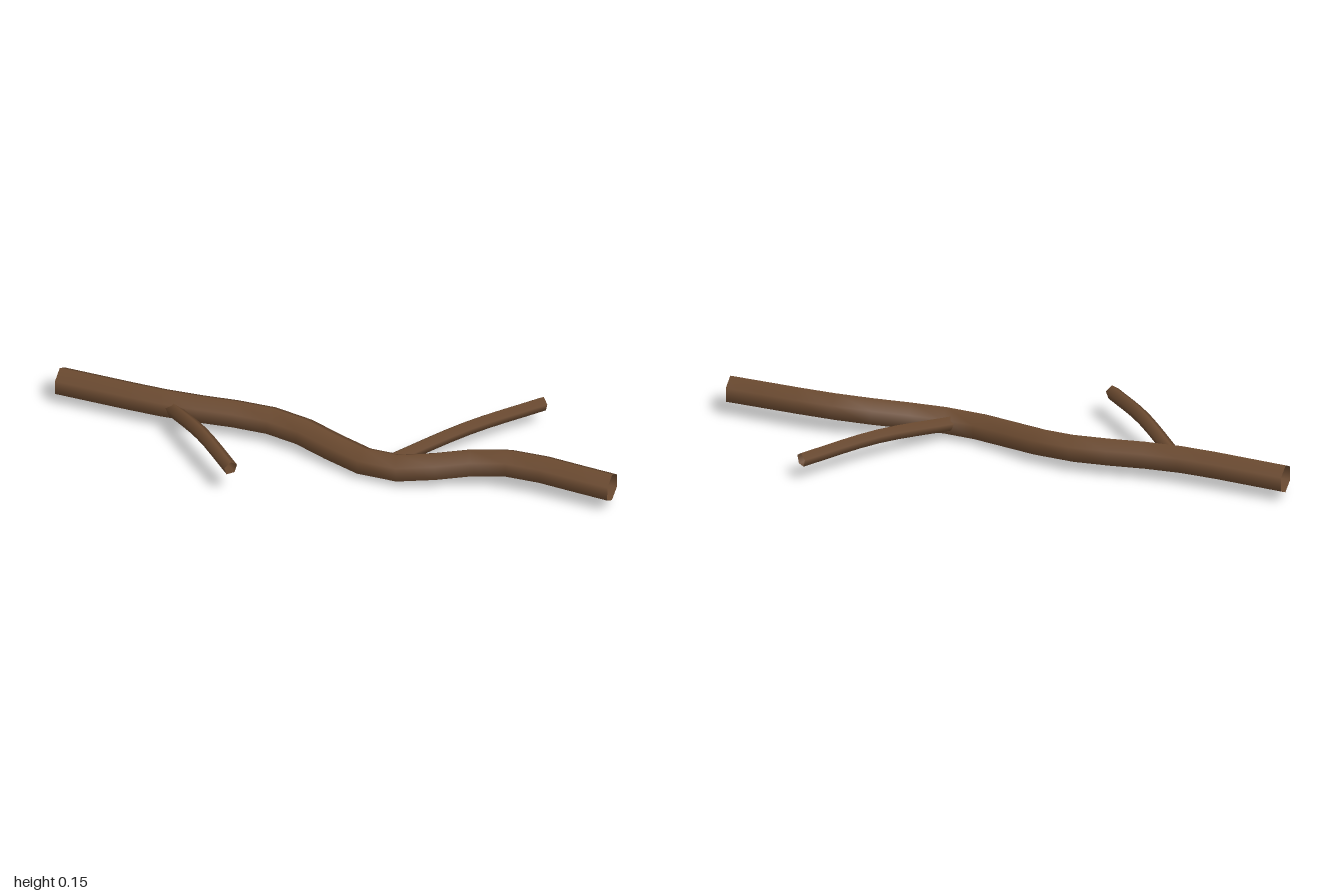
import * as THREE from 'three';

const bark = new THREE.MeshStandardMaterial({ color: 0x6b4a30, side: THREE.DoubleSide });

// Open-ended tube swept along a smooth curve
function limb(name, points, segments, radius, sides) {
  const curve = new THREE.CatmullRomCurve3(points.map(p => new THREE.Vector3(...p)));
  const mesh = new THREE.Mesh(new THREE.TubeGeometry(curve, segments, radius, sides, false), bark);
  mesh.name = name;
  return mesh;
}

export function createModel() {
  const group = new THREE.Group();
  group.name = 'fallenBranch';

  // Main stem: wavy, six-sided
  group.add(limb('mainStem', [
    [-0.997, 0.079, -0.006], [-0.6, 0.083, 0.018], [-0.2, 0.076, 0.002],
    [0.2, 0.053, 0.11], [0.6, 0.095, 0.021], [0.997, 0.092, 0.045],
  ], 16, 0.052, 6));

  // Side twigs: thinner, five-sided, gently arched
  group.add(limb('frontTwig', [
    [-0.585, 0.084, 0.04], [-0.42, 0.122, 0.208], [-0.265, 0.114, 0.366],
  ], 8, 0.0255, 5));
  group.add(limb('backTwig', [
    [0.215, 0.063, 0.085], [0.42, 0.094, -0.145], [0.617, 0.088, -0.372],
  ], 8, 0.0255, 5));

  return group;
}
